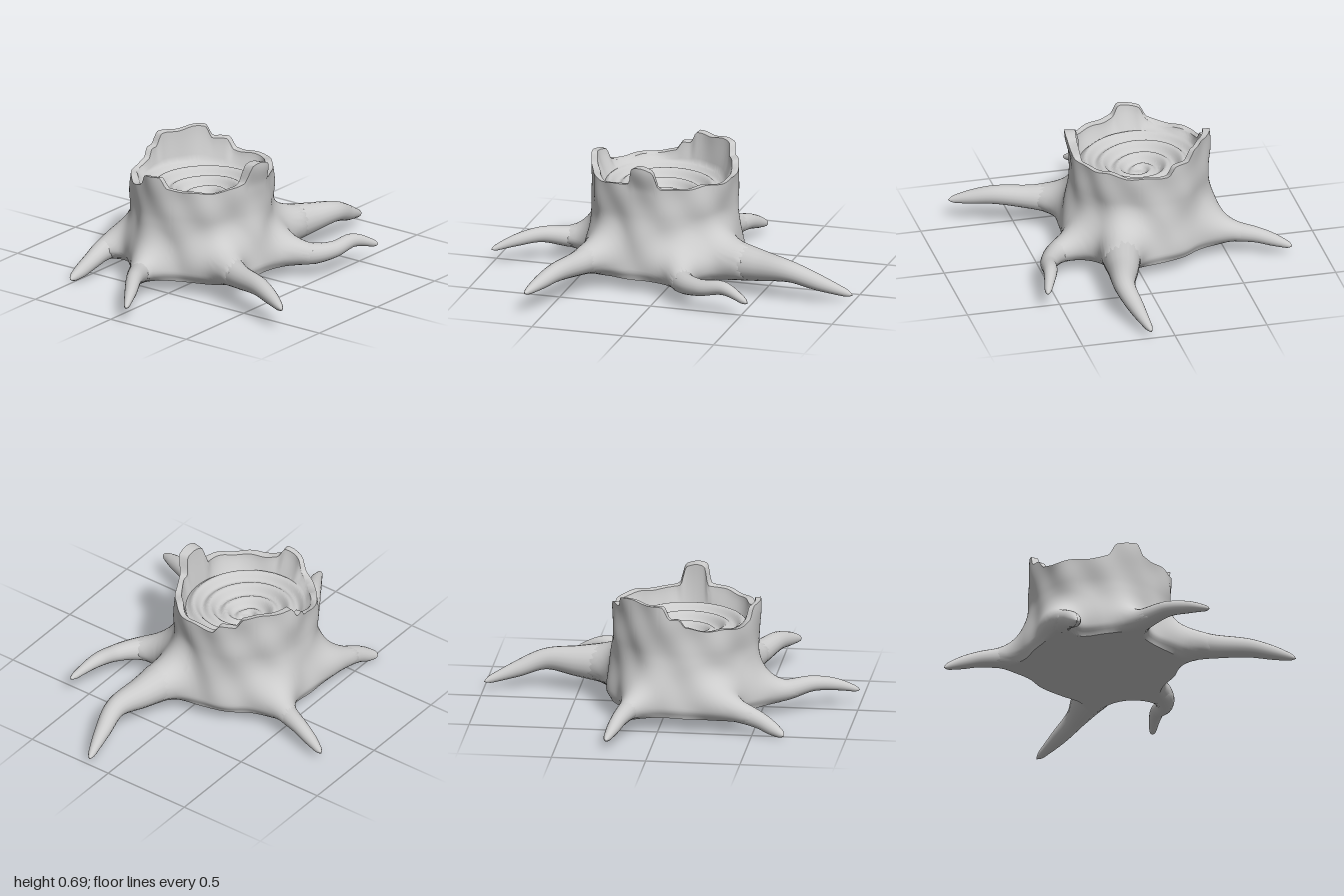
import * as THREE from 'three';
import { toCreasedNormals } from 'three/addons/utils/BufferGeometryUtils.js';

const CX = -0.08, CZ = 0.1, BASE = 0.08, REACH = 0.6, FLOOR_R = 0.315;
const { lerp, smoothstep: smooth } = THREE.MathUtils;
const angDiff = (a, b) => Math.abs(Math.atan2(Math.sin(a - b), Math.cos(a - b)));
// Soft-edged plateau around an angle, used for the broken rim
const plateau = (a, c, half, soft = 0.06) => 1 - smooth(angDiff(a, c), half - soft, half + soft);

// Roots: each point is x, y, z, radius, from inside the trunk out to the tip
const ROOTS = {
  frontLeftRoot: [[0.12, 0.18, 0.28, 0.1], [0.28, 0.18, 0.37, 0.088], [0.42, 0.175, 0.43, 0.064],
    [0.6, 0.178, 0.495, 0.05], [0.72, 0.155, 0.545, 0.037], [0.828, 0.125, 0.595, 0.014]],
  frontRoot: [[-0.13, 0.15, 0.38, 0.09], [-0.13, 0.145, 0.5, 0.08], [-0.1, 0.138, 0.62, 0.058],
    [-0.03, 0.157, 0.76, 0.042], [0.04, 0.135, 0.88, 0.032], [0.1, 0.09, 1.0, 0.012]],
  frontRightRoot: [[-0.34, 0.16, 0.22, 0.09], [-0.44, 0.155, 0.33, 0.078], [-0.475, 0.128, 0.44, 0.058],
    [-0.485, 0.09, 0.54, 0.045], [-0.5, 0.052, 0.61, 0.036], [-0.518, 0.018, 0.675, 0.016]],
  rightRoot: [[-0.32, 0.16, -0.02, 0.09], [-0.44, 0.15, -0.1, 0.075], [-0.54, 0.138, -0.15, 0.055],
    [-0.65, 0.12, -0.185, 0.042], [-0.74, 0.09, -0.21, 0.033], [-0.83, 0.055, -0.237, 0.014]],
  backRoot: [[0.06, 0.18, -0.14, 0.13], [0.12, 0.178, -0.33, 0.11], [0.155, 0.172, -0.5, 0.083],
    [0.19, 0.165, -0.68, 0.056], [0.165, 0.11, -0.83, 0.042], [0.125, 0.045, -1.0, 0.015]],
  backLeftRoot: [[0.15, 0.16, 0.0, 0.1], [0.3, 0.15, -0.09, 0.085], [0.43, 0.135, -0.16, 0.06],
    [0.5, 0.14, -0.27, 0.045], [0.527, 0.158, -0.41, 0.036], [0.58, 0.105, -0.56, 0.015]],
};

// Centre line of a root and its radius at any fraction of the length
function rootPath(points) {
  const curve = new THREE.CatmullRomCurve3(points.map(p => new THREE.Vector3(p[0], p[1], p[2])));
  const radii = new THREE.CatmullRomCurve3(points.map(p => new THREE.Vector3(p[3], 0, 0)), false, 'catmullrom');
  return { curve, radiusAt: u => radii.getPoint(curve.getUtoTmapping(u)).x };
}

// Spheres along the inner part of each root, which the trunk wall blends into
const ROOT_SPHERES = Object.values(ROOTS).map(points => {
  const { curve, radiusAt } = rootPath(points);
  return Array.from({ length: 22 }, (_, i) => ({ c: curve.getPointAt(i / 30), r: radiusAt(i / 30) }));
});

function smoothMin(a, b, k) {
  const h = Math.max(k - Math.abs(a - b), 0) / k;
  return Math.min(a, b) - h * h * k / 4;
}

// Height of the jagged rim
function rimHeight(a) {
  return 0.575 + 0.006 * Math.sin(5 * a) + 0.004 * Math.sin(13 * a + 1)
    - 0.03 * plateau(a, 2.45, 0.55, 0.2)
    + 0.085 * plateau(a, 0.02, 0.19, 0.05) + 0.035 * Math.exp(-((angDiff(a, 0.02) / 0.3) ** 2))
    + 0.055 * plateau(a, 1.68, 0.2)
    + 0.045 * plateau(a, -2.5, 0.7) + 0.06 * plateau(a, -2.55, 0.42);
}

// Bare trunk radius: flared foot and uneven bark
function trunkRadius(a, y) {
  return 0.368 + 0.05 * (1 - smooth(y, 0.12, 0.42)) - 0.02 * (1 - smooth(y, BASE, 0.13))
    + 0.02 * Math.sin(a) ** 2 * smooth(y, 0.15, 0.5)
    + 0.006 * Math.sin(7 * a + 5 * y) + 0.004 * Math.sin(11 * a - 17 * y) + 0.003 * Math.sin(4 * a + 23 * y)
    + smooth(y, 0.56, 0.7) * 0.03 * plateau(a, 0.02, 0.25, 0.1);
}

// Trunk radius with the roots blended in, found by stepping outward to the surface
function wallRadius(a, y) {
  const bare = trunkRadius(a, y);
  if (y > 0.5) return bare;
  const p = new THREE.Vector3();
  let r = bare;
  for (let n = 0; n < 16 && r < REACH; n++) {
    p.set(CX + r * Math.cos(a), y, CZ + r * Math.sin(a));
    let d = r - bare;
    for (const spheres of ROOT_SPHERES)
      d = smoothMin(d, Math.min(...spheres.map(s => p.distanceTo(s.c) - s.r)), 0.13);
    r -= 0.8 * d;
  }
  return Math.min(r, REACH);
}

// Hollow wood floor with growth rings winding into a sunken heart
function floorHeight(a, r) {
  const wave = Math.sin(2 * Math.PI * r / 0.085 - a + 0.5 * Math.sin(2 * a));
  return 0.425 + 0.07 * smooth(r, 0, FLOOR_R) + 0.015 * wave * smooth(r, 0, 0.06);
}

function buildTrunk() {
  const SEG = 220, WALL = 40, FLOOR = 40;
  const rows = [];
  // underside
  for (const f of [0, 0.5, 0.96]) rows.push(a => [f * wallRadius(a, BASE), BASE]);
  // outer wall
  for (let i = 0; i <= WALL; i++) rows.push(a => {
    const y = lerp(BASE, rimHeight(a), i / WALL);
    return [wallRadius(a, y), y];
  });
  // rim lip and inner wall
  const thick = a => 0.026 + 0.022 * plateau(a, 0.02, 0.25, 0.1) + 0.012 * Math.sin(3 * a + 1) ** 2;
  for (let i = 0; i <= 6; i++) rows.push(a => {
    const top = rimHeight(a), t = i / 6;
    return [lerp(trunkRadius(a, top) - thick(a), FLOOR_R, t ** 1.4),
      lerp(top - 0.004, floorHeight(a, FLOOR_R), t)];
  });
  // ringed floor
  for (let i = 1; i <= FLOOR; i++) rows.push(a => {
    const r = FLOOR_R * (1 - i / FLOOR);
    return [r, floorHeight(a, r)];
  });

  const pos = [], index = [];
  rows.forEach((row, j) => {
    for (let i = 0; i < SEG; i++) {
      const a = i / SEG * Math.PI * 2, [r, y] = row(a);
      pos.push(CX + r * Math.cos(a), y, CZ + r * Math.sin(a));
      if (j === 0) continue;
      const k = (i + 1) % SEG, p = (j - 1) * SEG, q = j * SEG;
      if (j > 1) index.push(p + i, q + k, p + k);
      if (j < rows.length - 1) index.push(p + i, q + i, q + k);
    }
  });
  const geo = new THREE.BufferGeometry();
  geo.setAttribute('position', new THREE.Float32BufferAttribute(pos, 3));
  geo.setIndex(index);
  return toCreasedNormals(geo, 1.0);
}

// Tapered tube whose rings follow the listed radii and close in a round tip
function buildRoot(points) {
  const LEN = 60, SIDES = 18;
  const { curve, radiusAt } = rootPath(points);
  const geo = new THREE.TubeGeometry(curve, LEN, 1, SIDES, false);
  const pos = geo.attributes.position, v = new THREE.Vector3();
  for (let i = 0; i <= LEN; i++) {
    const u = i / LEN, c = curve.getPointAt(u);
    const r = radiusAt(u) * Math.sqrt(Math.min(1, (1 - u) / 0.04));
    for (let s = 0; s <= SIDES; s++) {
      const k = i * (SIDES + 1) + s;
      v.fromBufferAttribute(pos, k).sub(c).multiplyScalar(r).add(c);
      // keep the thick end level with the underside of the trunk
      if (u < 0.45) v.y = Math.max(v.y, BASE + 0.003);
      pos.setXYZ(k, v.x, v.y, v.z);
    }
  }
  return geo;
}

export function createModel() {
  const group = new THREE.Group();
  group.name = 'treeStump';
  const wood = new THREE.MeshStandardMaterial({ color: 0xcccccc });
  const add = (name, geo) => {
    const mesh = new THREE.Mesh(geo, wood);
    mesh.name = name;
    group.add(mesh);
  };
  add('trunk', buildTrunk());
  for (const [name, points] of Object.entries(ROOTS)) add(name, buildRoot(points));
  return group;
}
